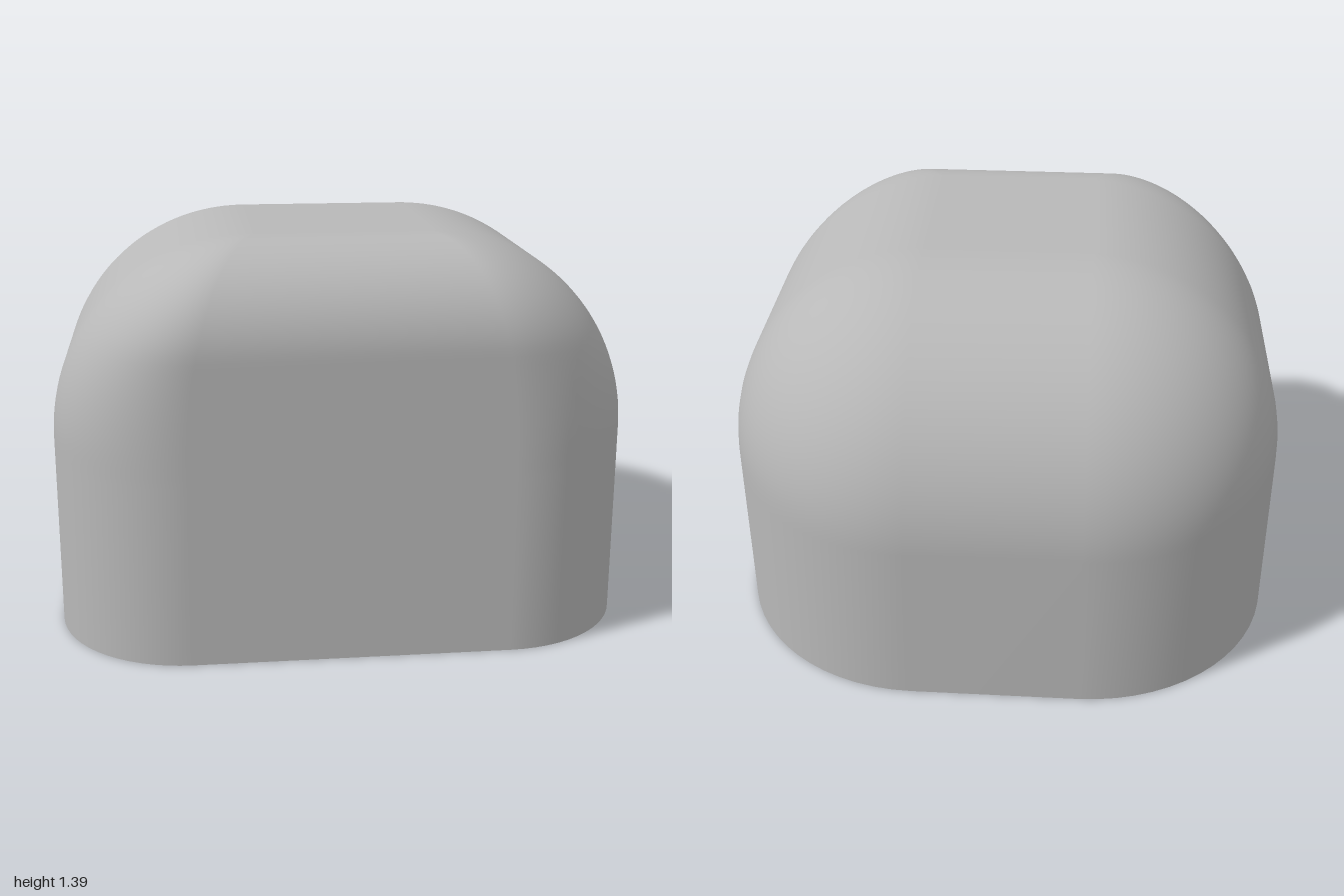
import * as THREE from 'three';

const CORNER_STEPS = 16;
const RISE_STEPS = 36;
const RIM = 0.075;      // width of the flat bottom rim
const WALL = 0.115;     // wall thickness above the chamfer
const CHAMFER_TOP = 0.04;

// Cover sizes, moved inward by t
const sizes = (t) => ({
  w: 1 - t, d: 0.885 - t, top: 1.39 - t,
  side: 0.7 - t, front: 0.35 - t, back: 0.77 - t, // top edge radii
  frontCorner: 0.46 - t, backCorner: 0.7 - t,     // upright edge radii
});

// How far a top edge of radius r has curved inward at height y
function inset(y, top, r) {
  const h = Math.min(r, Math.max(0, y - (top - r)));
  return r - Math.sqrt(Math.max(0, r * r - h * h));
}

// Rounded outline at height y; corner radii shrink as the top edges close in
function ring(p, y) {
  const s = inset(y, p.top, p.side);
  const f = inset(y, p.top, p.front);
  const b = inset(y, p.top, p.back);
  const points = [];
  [[1, 1], [-1, 1], [-1, -1], [1, -1]].forEach(([sx, sz], corner) => {
    const isFront = sz > 0;
    const r = isFront ? p.frontCorner : p.backCorner;
    const edge = isFront ? f : b;
    const rx = r * (1 - s / p.side);
    const rz = r * (1 - edge / (isFront ? p.front : p.back));
    for (let i = 0; i <= CORNER_STEPS; i++) {
      const a = (corner + i / CORNER_STEPS) * Math.PI / 2;
      points.push([
        sx * (p.w - s - rx) + rx * Math.cos(a), y,
        sz * (p.d - edge - rz) + rz * Math.sin(a),
      ]);
    }
  });
  return points;
}

// Skin over rings, optionally closed at the last ring
function loft(rings, flip, capCentre) {
  const n = rings[0].length;
  const positions = rings.flat(2);
  const index = [];
  const tri = (a, b, c) => (flip ? index.push(a, c, b) : index.push(a, b, c));
  for (let i = 0; i < rings.length - 1; i++) {
    for (let j = 0; j < n; j++) {
      const a = i * n + j, b = i * n + (j + 1) % n;
      tri(a, a + n, b);
      tri(b, a + n, b + n);
    }
  }
  if (capCentre) {
    const last = (rings.length - 1) * n, centre = rings.length * n;
    positions.push(...capCentre);
    for (let j = 0; j < n; j++) tri(centre, last + (j + 1) % n, last + j);
  }
  const g = new THREE.BufferGeometry();
  g.setAttribute('position', new THREE.Float32BufferAttribute(positions, 3));
  g.setIndex(index);
  g.computeVertexNormals();
  return g;
}

// Domed skin from yStart up to the flat top
function dome(p, yStart, flip) {
  const rings = [ring(p, yStart)];
  for (let i = 0; i <= RISE_STEPS; i++) {
    const a = (i / RISE_STEPS) * Math.PI / 2;
    rings.push(ring(p, p.top - p.back + p.back * Math.sin(a)));
  }
  return loft(rings, flip, [0, p.top, 0.2]);
}

export function createModel() {
  const model = new THREE.Group();
  model.name = 'hollowCover';
  const grey = new THREE.MeshStandardMaterial({ color: 0xb8b8b8 });
  grey.name = 'grey';

  const add = (name, geometry) => {
    const mesh = new THREE.Mesh(geometry, grey);
    mesh.name = name;
    model.add(mesh);
  };

  const outer = sizes(0), inner = sizes(WALL);
  add('outerShell', dome(outer, 0, false));
  add('innerShell', dome(inner, CHAMFER_TOP, true));
  add('bottomRim', loft([ring(outer, 0), ring(sizes(RIM), 0)], true));
  add('rimChamfer', loft([ring(sizes(RIM), 0), ring(inner, CHAMFER_TOP)], true));
  return model;
}
